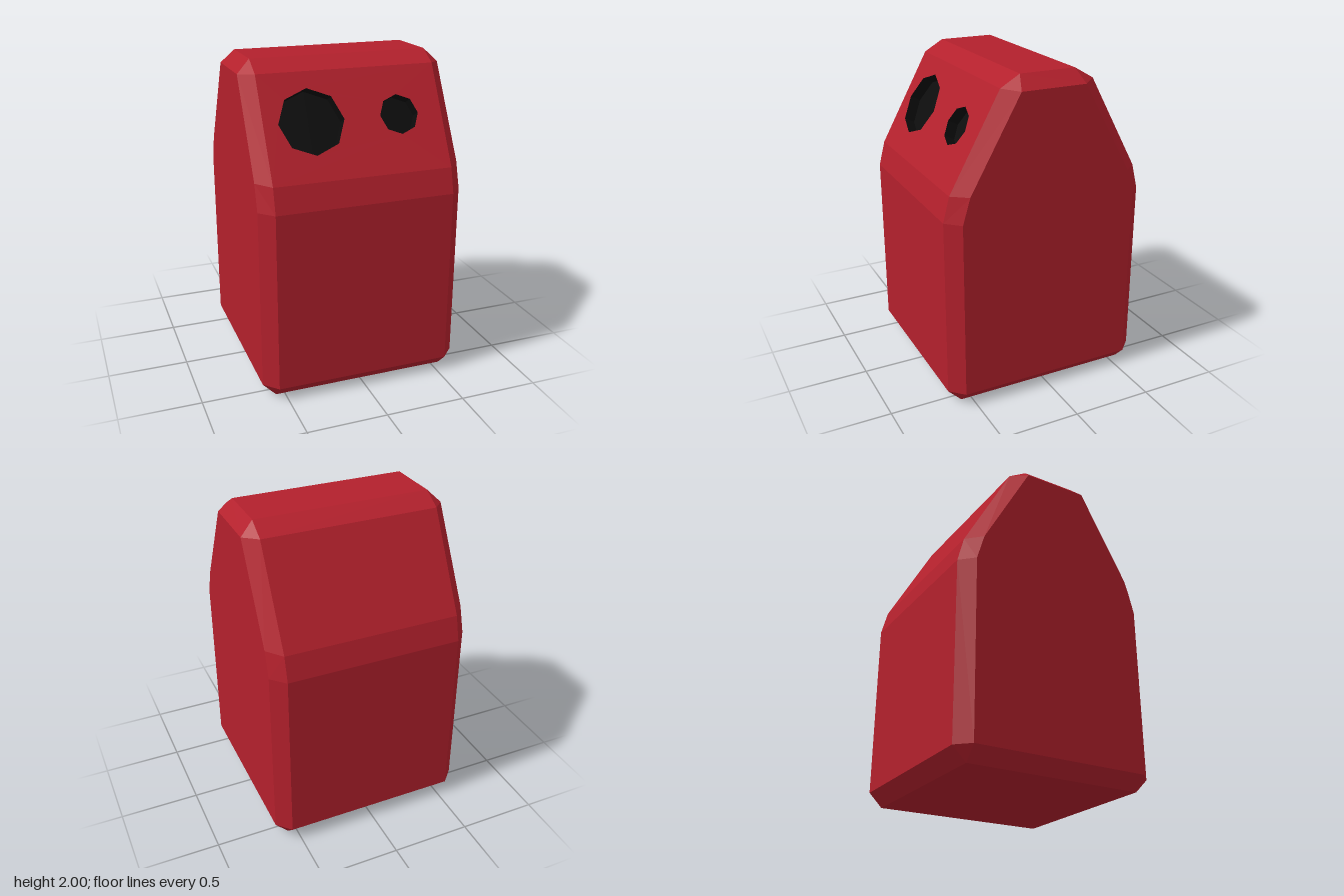
import * as THREE from 'three';

const HALF_INNER = 0.555; // half width before the bevel
const HALF_OUTER = 0.637; // half width of the flat sides
const LOW = [0.61, 1.355], HIGH = [0.295, 1.93]; // ends of the slope as [z, y]

// Half outlines as [z, y], bottom to top: main band, and the inset side panel
const band = [[0.565, 0], [0.65, 0.085], [0.65, 1.2], LOW, HIGH, [0.175, 2]];
const panel = [[0.565, 0.085], [0.565, 0.085], [0.565, 1.2], [0.518, 1.36], [0.205, 1.92], [0.205, 1.92]];
const EYES = [
  { name: 'rightEye', x: -0.267, radius: 0.2 },
  { name: 'leftEye', x: 0.28, radius: 0.122 },
];

const closeLoop = (half) => [...half, ...half.map(([z, y]) => [-z, y]).reverse()];

// Convex polygons turned outward from the middle of the body
function facesGeometry(faces) {
  const middle = new THREE.Vector3(0, 1, 0);
  const points = [];
  for (const face of faces) {
    for (let i = 1; i < face.length - 1; i++) {
      const [a, b, c] = [face[0], face[i], face[i + 1]];
      const normal = b.clone().sub(a).cross(c.clone().sub(a));
      if (normal.length() < 1e-7) continue;
      const outward = normal.dot(a.clone().sub(middle)) > 0;
      points.push(a, ...(outward ? [b, c] : [c, b]));
    }
  }
  const geometry = new THREE.BufferGeometry().setFromPoints(points);
  geometry.computeVertexNormals();
  return geometry;
}

export function createModel() {
  const group = new THREE.Group();
  const red = new THREE.MeshStandardMaterial({ name: 'red', color: 0xb3202c, flatShading: true });
  const black = new THREE.MeshStandardMaterial({
    name: 'black', color: 0x0c0c0c, flatShading: true, side: THREE.DoubleSide,
  });
  const add = (parent, name, geometry, material) => {
    const mesh = new THREE.Mesh(geometry, material);
    mesh.name = name;
    parent.add(mesh);
    return mesh;
  };

  // Body: wrap-around band, bevels and flat sides, leaving out the front slope
  const outer = closeLoop(band), inner = closeLoop(panel);
  const at = (x, [z, y]) => new THREE.Vector3(x, y, z);
  const bodyFaces = [], bevelFaces = [], sideFaces = [];
  outer.forEach((p, i) => {
    const j = (i + 1) % outer.length;
    const q = outer[j];
    if (p !== LOW) {
      bodyFaces.push([at(-HALF_INNER, p), at(HALF_INNER, p), at(HALF_INNER, q), at(-HALF_INNER, q)]);
    }
    for (const s of [-1, 1]) {
      bevelFaces.push([
        at(s * HALF_INNER, p), at(s * HALF_INNER, q), at(s * HALF_OUTER, inner[j]), at(s * HALF_OUTER, inner[i]),
      ]);
    }
  });
  for (const s of [-1, 1]) sideFaces.push(inner.map((p) => at(s * HALF_OUTER, p)));
  add(group, 'body', facesGeometry(bodyFaces), red);
  add(group, 'bevels', facesGeometry(bevelFaces), red);
  add(group, 'sidePanels', facesGeometry(sideFaces), red);

  // Front slope with octagonal openings, in its own tilted frame
  const dz = LOW[0] - HIGH[0], dy = HIGH[1] - LOW[1];
  const halfSlope = Math.hypot(dz, dy) / 2;
  const eyeY = 0.026;
  const face = new THREE.Group();
  face.name = 'face';
  face.position.set(0, (LOW[1] + HIGH[1]) / 2, (LOW[0] + HIGH[0]) / 2);
  face.rotation.x = -Math.atan2(dz, dy);
  group.add(face);

  const slope = new THREE.Shape([
    new THREE.Vector2(-HALF_INNER, -halfSlope), new THREE.Vector2(HALF_INNER, -halfSlope),
    new THREE.Vector2(HALF_INNER, halfSlope), new THREE.Vector2(-HALF_INNER, halfSlope),
  ]);
  for (const { name, x, radius } of EYES) {
    const rim = Array.from({ length: 8 }, (_, i) => {
      const a = (-i * Math.PI) / 4;
      return new THREE.Vector2(x + radius * Math.cos(a), eyeY + radius * Math.sin(a));
    });
    slope.holes.push(new THREE.Path(rim));

    // Recessed eye: flat floor and a short wall up to the rim
    const profile = [[0, -0.07], [radius, -0.07], [radius, 0]].map(([r, h]) => new THREE.Vector2(r, h));
    const socket = new THREE.LatheGeometry(profile, 8).rotateX(Math.PI / 2);
    add(face, name, socket, black).position.set(x, eyeY, 0);
  }
  add(face, 'frontSlope', new THREE.ShapeGeometry(slope), red);

  return group;
}
